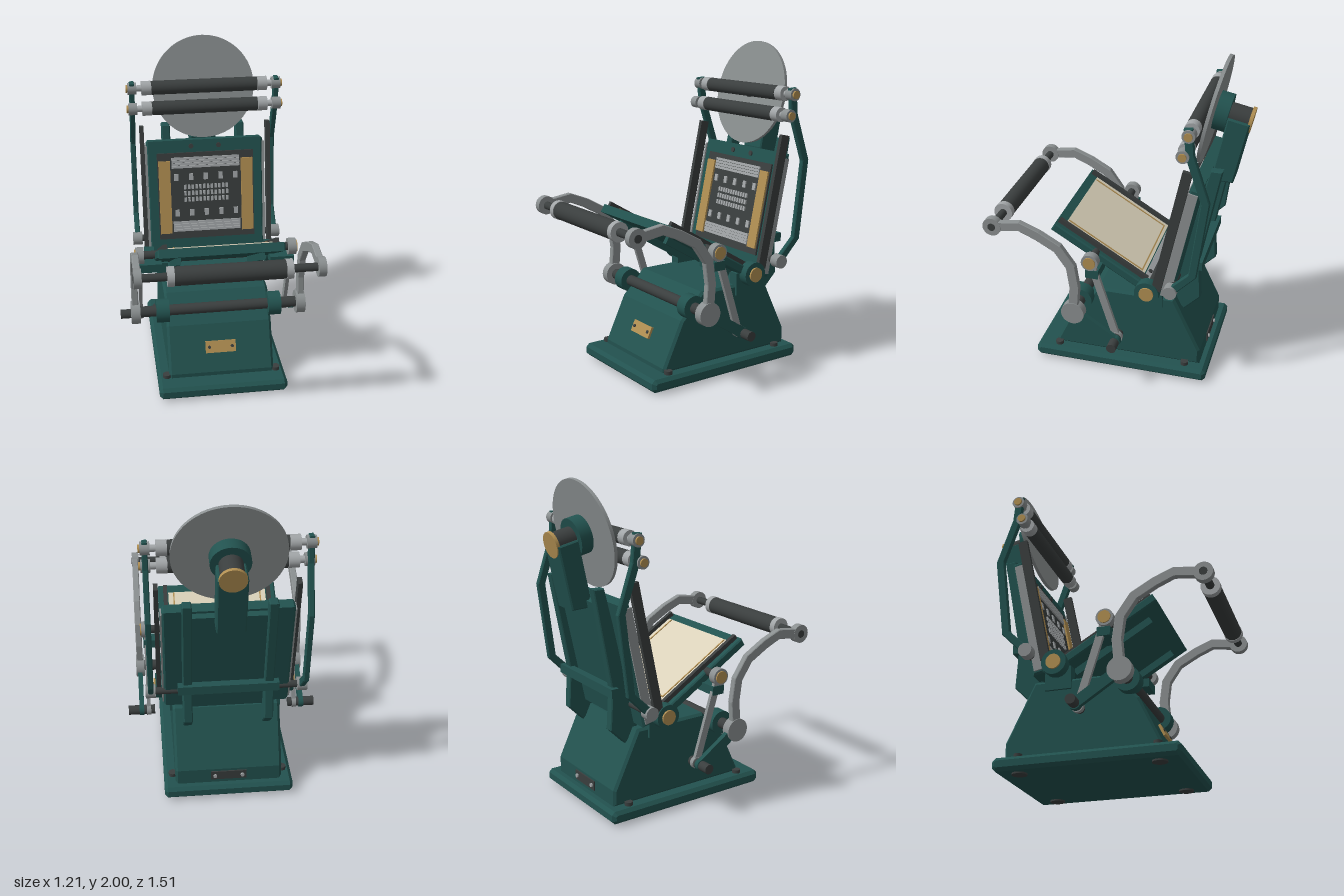
import * as THREE from 'three';

const mat = (name, color) => {
  const m = new THREE.MeshStandardMaterial({ color });
  m.name = name;
  return m;
};

export function createModel() {
  const green = mat('enamel green', 0x22524f);
  const dark = mat('dark iron', 0x3a3e3e);
  const steel = mat('bright steel', 0xa2a6a8);
  const grey = mat('cast grey', 0x8b9091);
  const brass = mat('brass', 0xb18f52);
  const cream = mat('paper cream', 0xdad1ba);
  const root = new THREE.Group();
  root.name = 'tabletopPress';

  const add = (parent, name, geo, m) => {
    const mesh = new THREE.Mesh(geo, m);
    mesh.name = name;
    parent.add(mesh);
    return mesh;
  };
  // Box from its limits
  const box = (parent, name, m, x0, x1, y0, y1, z0, z1) => {
    const a = add(parent, name, new THREE.BoxGeometry(Math.abs(x1 - x0), y1 - y0, z1 - z0), m);
    a.position.set((x0 + x1) / 2, (y0 + y1) / 2, (z0 + z1) / 2);
    return a;
  };
  // Cylinder along x
  const rod = (parent, name, m, r, x0, x1, y, z) => {
    const a = add(parent, name, new THREE.CylinderGeometry(r, r, Math.abs(x1 - x0), 28), m);
    a.rotation.z = Math.PI / 2;
    a.position.set((x0 + x1) / 2, y, z);
    return a;
  };
  // Cylinder along z
  const disc = (parent, name, m, r, z0, z1, x, y, seg = 28) => {
    const a = add(parent, name, new THREE.CylinderGeometry(r, r, z1 - z0, seg), m);
    a.rotation.x = Math.PI / 2;
    a.position.set(x, y, (z0 + z1) / 2);
    return a;
  };
  // Side profile of [z, y] points swept along x, with chamfered ends
  const sweep = (parent, name, m, pts, xa, xb, b = 0) => {
    const x0 = Math.min(xa, xb), x1 = Math.max(xa, xb);
    const geo = new THREE.ExtrudeGeometry(new THREE.Shape(pts.map(p => new THREE.Vector2(...p))), {
      depth: x1 - x0 - 2 * b, bevelEnabled: b > 0, bevelSize: b, bevelThickness: b,
      bevelOffset: -b, bevelSegments: 1,
    });
    geo.rotateY(-Math.PI / 2);
    const a = add(parent, name, geo, m);
    a.position.x = x1 - b;
    return a;
  };
  // Outline of constant width around a path of [z, y] points
  const strip = (path, w) => {
    const l = [], r = [];
    path.forEach((p, i) => {
      const a = path[Math.max(i - 1, 0)], c = path[Math.min(i + 1, path.length - 1)];
      const dx = c[0] - a[0], dy = c[1] - a[1], k = w / 2 / Math.hypot(dx, dy);
      l.push([p[0] - dy * k, p[1] + dx * k]);
      r.unshift([p[0] + dy * k, p[1] - dx * k]);
    });
    return l.concat(r);
  };

  // Base and body
  sweep(root, 'baseSlab', green, [[-0.6, 0.03], [-0.58, 0.01], [0.48, 0.01], [0.5, 0.03],
    [0.5, 0.07], [0.48, 0.09], [-0.58, 0.09], [-0.6, 0.07]], -0.4, 0.4, 0.02);
  sweep(root, 'body', green, [[-0.55, 0.09], [0.38, 0.09], [0.38, 0.115], [0.25, 0.39], [0.1, 0.545],
    [-0.38, 0.545], [-0.55, 0.19]], -0.33, 0.33, 0.015);
  const plate = new THREE.Group();
  plate.name = 'namePlate';
  plate.position.set(0, 0.26, 0.315);
  plate.rotation.x = -0.44;
  root.add(plate);
  box(plate, 'brassPlate', brass, -0.095, 0.095, -0.037, 0.037, -0.01, 0.012);
  box(root, 'rearPlate', dark, -0.11, 0.11, 0.115, 0.175, -0.558, -0.55);
  for (const s of [1, -1]) {
    disc(plate, 'plateScrew', dark, 0.01, 0.012, 0.018, s * 0.072, 0, 12);
    disc(root, 'rearScrew', steel, 0.012, -0.568, -0.558, s * 0.085, 0.145, 12);
    for (const z of [0.36, -0.46]) {
      const foot = add(root, 'foot', new THREE.CylinderGeometry(0.045, 0.045, 0.012, 20), dark);
      foot.position.set(s * 0.31, 0.006, z);
      const bolt = add(root, 'baseBolt', new THREE.CylinderGeometry(0.025, 0.025, 0.025, 12), dark);
      bolt.position.set(s * 0.345, 0.1, z);
    }
  }

  // Main shaft, cranks, links and handle
  rod(root, 'mainShaft', dark, 0.034, -0.5, 0.5, 0.48, 0.2);
  rod(root, 'handleBar', dark, 0.024, -0.545, 0.545, 1.005, 0.69);
  rod(root, 'handleGrip', dark, 0.055, -0.32, 0.32, 1.005, 0.69);
  rod(root, 'hingeShaft', dark, 0.035, -0.4, 0.4, 0.62, -0.23);
  const bow = [[0.2, 0.48], [0.185, 0.66], [0.205, 0.8], [0.285, 0.915], [0.41, 0.985], [0.52, 1.03], [0.69, 1.005]];
  for (const s of [1, -1]) {
    rod(root, 'shaftCollar', green, 0.074, s * 0.31, s * 0.39, 0.48, 0.2);
    rod(root, 'shaftDisc', grey, 0.072, s * 0.49, s * 0.545, 0.48, 0.2);
    sweep(root, 'handleArm', grey, strip(bow, 0.06), s * 0.5, s * 0.54, 0.004);
    rod(root, 'handleEye', grey, 0.057, s * 0.498, s * 0.542, 1.005, 0.69);
    rod(root, 'gripRing', steel, 0.058, s * 0.315, s * 0.355, 1.005, 0.69);
    sweep(root, 'crankArm', green, strip([[0.2, 0.48], [-0.06, 0.31]], 0.065), s * 0.505, s * 0.535);
    rod(root, 'crankEye', green, 0.036, s * 0.505, s * 0.535, 0.31, -0.06);
    rod(root, 'crankPin', dark, 0.03, s * 0.435, s * 0.605, 0.31, -0.06);
    sweep(root, 'link', grey, strip([[0.1, 0.825], [-0.06, 0.31]], 0.045), s * 0.462, s * 0.485);
    rod(root, 'linkLowerEye', grey, 0.036, s * 0.46, s * 0.488, 0.31, -0.06);
    rod(root, 'linkUpperEye', grey, 0.052, s * 0.45, s * 0.5, 0.825, 0.1);
    rod(root, 'linkCap', brass, 0.038, s * 0.5, s * 0.508, 0.825, 0.1);
    rod(root, 'linkPin', dark, 0.025, s * 0.36, s * 0.46, 0.825, 0.1);
    box(root, 'platenLug', green, s * 0.34, s * 0.49, 0.715, 0.77, 0.05, 0.13);
    // Hinge
    rod(root, 'hingeDisc', green, 0.076, s * 0.365, s * 0.427, 0.62, -0.23);
    rod(root, 'hingeCap', brass, 0.045, s * 0.427, s * 0.438, 0.62, -0.23);
    box(root, 'hingeBlock', green, s * 0.28, s * 0.345, 0.48, 0.62, -0.31, -0.15);
  }

  // Platen, lying back from the hinge
  const platen = new THREE.Group();
  platen.name = 'platen';
  platen.position.set(0, 0.62, -0.23);
  platen.rotation.x = -0.54;
  root.add(platen);
  sweep(platen, 'platenPlate', green, [[0.02, -0.032], [0.69, -0.032], [0.69, 0.022], [0.02, 0.022]], -0.382, 0.382, 0.008);
  box(platen, 'paper', cream, -0.315, 0.315, 0.022, 0.03, 0.068, 0.635);
  box(platen, 'topGuide', brass, -0.28, 0.28, 0.03, 0.034, 0.087, 0.095);
  box(platen, 'clampStrip', steel, -0.345, 0.345, 0.022, 0.036, 0.027, 0.06);
  for (const s of [1, -1]) {
    box(platen, 'sideGuide', brass, s * 0.276, s * 0.284, 0.03, 0.034, 0.087, 0.63);
    box(platen, 'gaugeBar', dark, s * 0.322, s * 0.347, 0.022, 0.05, 0.04, 0.68);
    box(platen, 'platenRib', green, s * 0.24, s * 0.27, -0.075, -0.03, 0.06, 0.6);
    const screw = add(platen, 'clampScrew', new THREE.CylinderGeometry(0.013, 0.013, 0.01, 12), dark);
    screw.position.set(s * 0.253, 0.04, 0.043);
  }

  // Upright type bed, leaning back
  const bed = new THREE.Group();
  bed.name = 'typeBed';
  bed.position.set(0, 0.62, -0.23);
  bed.rotation.x = -0.21;
  root.add(bed);
  sweep(bed, 'bedPlate', green, [[-0.15, -0.02], [-0.082, -0.02], [-0.082, 0.755], [-0.15, 0.755]], -0.38, 0.38, 0.012);
  box(bed, 'bedBackPanel', green, -0.23, 0.23, 0, 0.74, -0.19, -0.15);
  box(bed, 'chase', dark, -0.315, 0.315, 0.1, 0.675, -0.085, -0.07);
  for (const [y0, y1] of [[0.575, 0.648], [0.15, 0.22]])
    for (let i = 0; i < 4; i++) {
      const h = (y1 - y0) / 4;
      box(bed, 'spacingBar', steel, -0.222, 0.222, y0 + i * h, y0 + (i + 0.85) * h, -0.072, -0.06);
    }
  for (const y of [0.515, 0.275])
    for (let i = -2; i <= 2; i++) box(bed, 'quoin', steel, i * 0.097 - 0.014, i * 0.097 + 0.014, y - 0.022, y + 0.022, -0.072, -0.062);
  for (let row = 0; row < 3; row++)
    for (let i = 0; i < 12; i++) {
      const x = -0.145 + i * 0.025, y = 0.35 + row * 0.042;
      box(bed, 'typeBlock', steel, x, x + 0.015, y, y + 0.028, -0.072, -0.06);
    }
  for (const s of [1, -1]) {
    box(bed, 'sideFurniture', brass, s * 0.232, s * 0.308, 0.14, 0.625, -0.072, -0.058);
    disc(bed, 'bedScrew', dark, 0.016, -0.083, -0.074, s * 0.09, 0.715, 14);
    box(bed, 'bedEdgeStrip', grey, s * 0.375, s * 0.39, 0.0, 0.725, -0.137, -0.078);
    box(bed, 'rollerRail', dark, s * 0.394, s * 0.42, 0.04, 0.865, -0.078, -0.02);
    sweep(root, 'backRib', green, [[-0.56, 1.41], [-0.63, 1.41], [-0.515, 0.8], [-0.53, 0.55],
      [-0.43, 0.45], [-0.34, 0.53], [-0.36, 0.62]], s * 0.215, s * 0.27, 0.006);
  }
  box(root, 'backCrossbar', green, -0.3, 0.3, 0.76, 0.815, -0.54, -0.49);

  // Ink disc with its hub and bracket
  const axis = 1.098;
  disc(bed, 'inkDisc', grey, 0.325, -0.078, -0.058, 0, axis, 64);
  disc(bed, 'discCentre', dark, 0.035, -0.058, -0.052, 0, axis);
  disc(bed, 'discHub', green, 0.115, -0.155, -0.078, 0, axis, 36);
  disc(bed, 'discShaft', dark, 0.068, -0.275, -0.155, 0, axis);
  disc(bed, 'discShaftCap', brass, 0.078, -0.295, -0.275, 0, axis);
  sweep(bed, 'discBracket', green, [[-0.289, 0.71], [-0.18, 0.69], [-0.155, 0.76], [-0.155, axis], [-0.289, axis]], -0.085, 0.085, 0.008);

  // Ink rollers and their swinging arms
  const armPath = [[-0.465, 1.745], [-0.48, 1.58], [-0.575, 1.3], [-0.515, 0.82], [-0.385, 0.69]];
  rod(root, 'rollerArmShaft', dark, 0.022, -0.44, 0.44, 0.69, -0.385);
  for (const s of [1, -1]) {
    sweep(root, 'rollerArm', green, strip(armPath, 0.05), s * 0.442, s * 0.475, 0.005);
    rod(root, 'rollerArmBoss', grey, 0.042, s * 0.43, s * 0.49, 0.69, -0.385);
  }
  for (const [y, z] of [[1.705, -0.47], [1.58, -0.44]]) {
    rod(root, 'inkRoller', dark, 0.044, -0.335, 0.335, y, z);
    rod(root, 'rollerSpindle', steel, 0.02, -0.485, 0.485, y, z);
    for (const s of [1, -1]) {
      rod(root, 'rollerWheel', steel, 0.045, s * 0.338, s * 0.398, y, z);
      rod(root, 'rollerHub', grey, 0.038, s * 0.43, s * 0.485, y, z);
      rod(root, 'rollerCap', brass, 0.024, s * 0.485, s * 0.496, y, z);
    }
  }
  return root;
}
